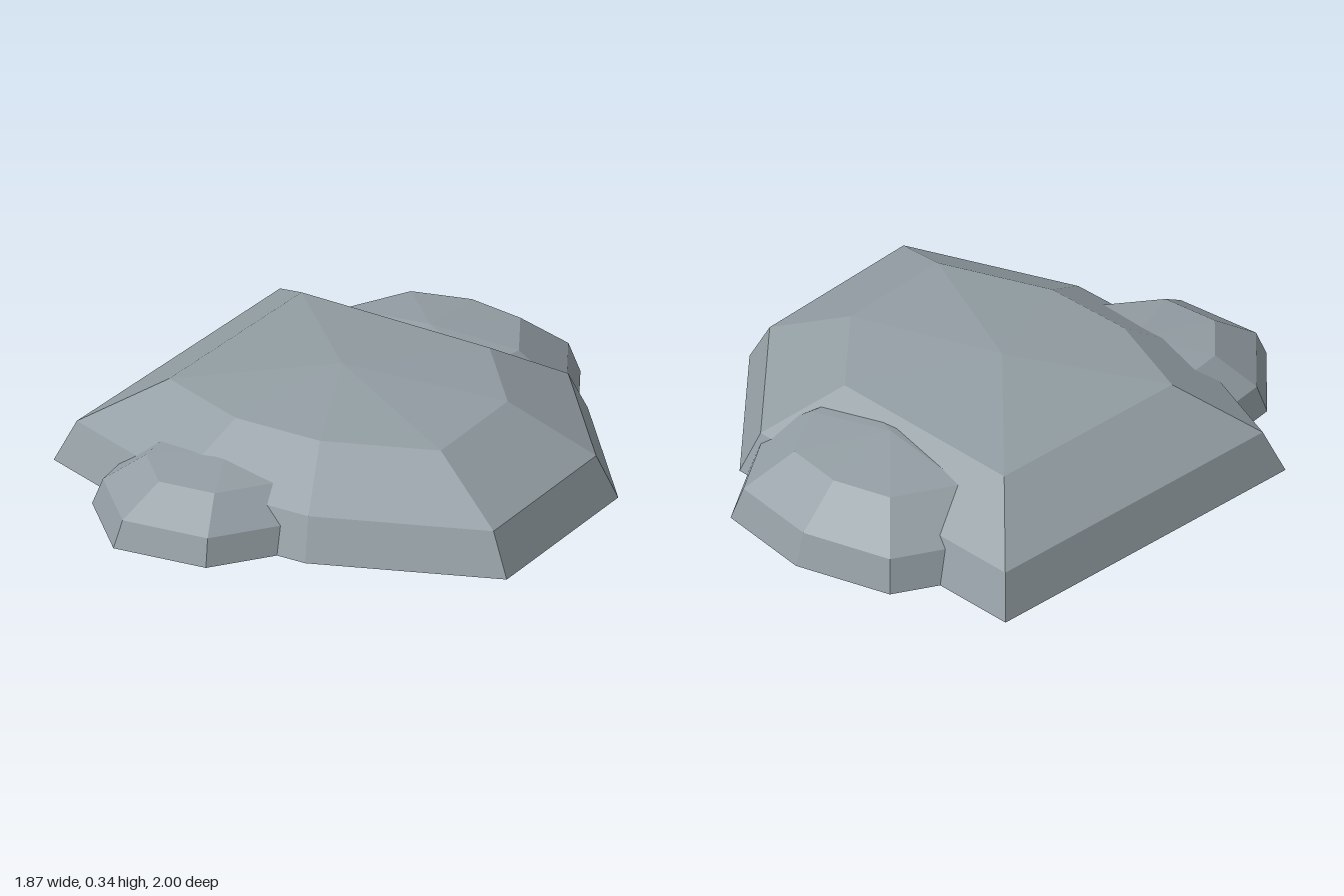
import * as THREE from 'three';

// Faceted mound: a base outline shrunk toward a centre on rising rings, closed by an apex and a flat floor.
// Outline corners [x, z] run clockwise as seen from above.
function makeMound(name, outline, [cx, cz], heights, material) {
  const scales = [1, 0.92, 0.6];
  const rings = scales.map((s, k) =>
    outline.map(([x, z]) => [cx + (x - cx) * s, heights[k], cz + (z - cz) * s]));
  const apex = [cx, heights[3], cz];
  const floor = [cx, 0, cz];
  const positions = [];
  const tri = (a, b, c) => positions.push(...a, ...b, ...c);
  const n = outline.length;
  for (let i = 0; i < n; i++) {
    const j = (i + 1) % n;
    for (let k = 0; k < 2; k++) {
      const lower = rings[k], upper = rings[k + 1];
      tri(lower[i], upper[i], lower[j]);
      tri(upper[i], upper[j], lower[j]);
    }
    tri(rings[2][i], apex, rings[2][j]);
    tri(rings[0][i], rings[0][j], floor);
  }
  const geometry = new THREE.BufferGeometry();
  geometry.setAttribute('position', new THREE.Float32BufferAttribute(positions, 3));
  geometry.computeVertexNormals();
  const mesh = new THREE.Mesh(geometry, material);
  mesh.name = name;
  return mesh;
}

export function createModel() {
  const group = new THREE.Group();
  group.name = 'rockCluster';
  const stone = new THREE.MeshStandardMaterial({ color: 0x929da3 });
  stone.name = 'stone grey';
  stone.flatShading = true;

  // Large central rock
  group.add(makeMound('mainRock', [
    [0.855, -0.02], [0.71, 0.6], [0.16, 1], [-0.4, 0.65],
    [-0.72, 0.23], [-0.88, -0.33], [0.16, -1],
  ], [-0.01, 0], [0, 0.14, 0.29, 0.34], stone));

  // Medium rock at the back left
  group.add(makeMound('backRock', [
    [0.93, -0.27], [0.78, 0.08], [0.5, 0.2], [0.15, -0.1],
    [0.09, -0.73], [0.5, -0.78], [0.77, -0.57],
  ], [0.405, -0.265], [0, 0.11, 0.235, 0.275], stone));

  // Small rock on the right
  group.add(makeMound('sideRock', [
    [-0.1, 0.4], [-0.25, 0.57], [-0.71, 0.56], [-0.935, 0.32],
    [-0.88, 0], [-0.6, -0.25], [-0.1, 0],
  ], [-0.49, 0.2], [0, 0.09, 0.185, 0.21], stone));

  return group;
}
